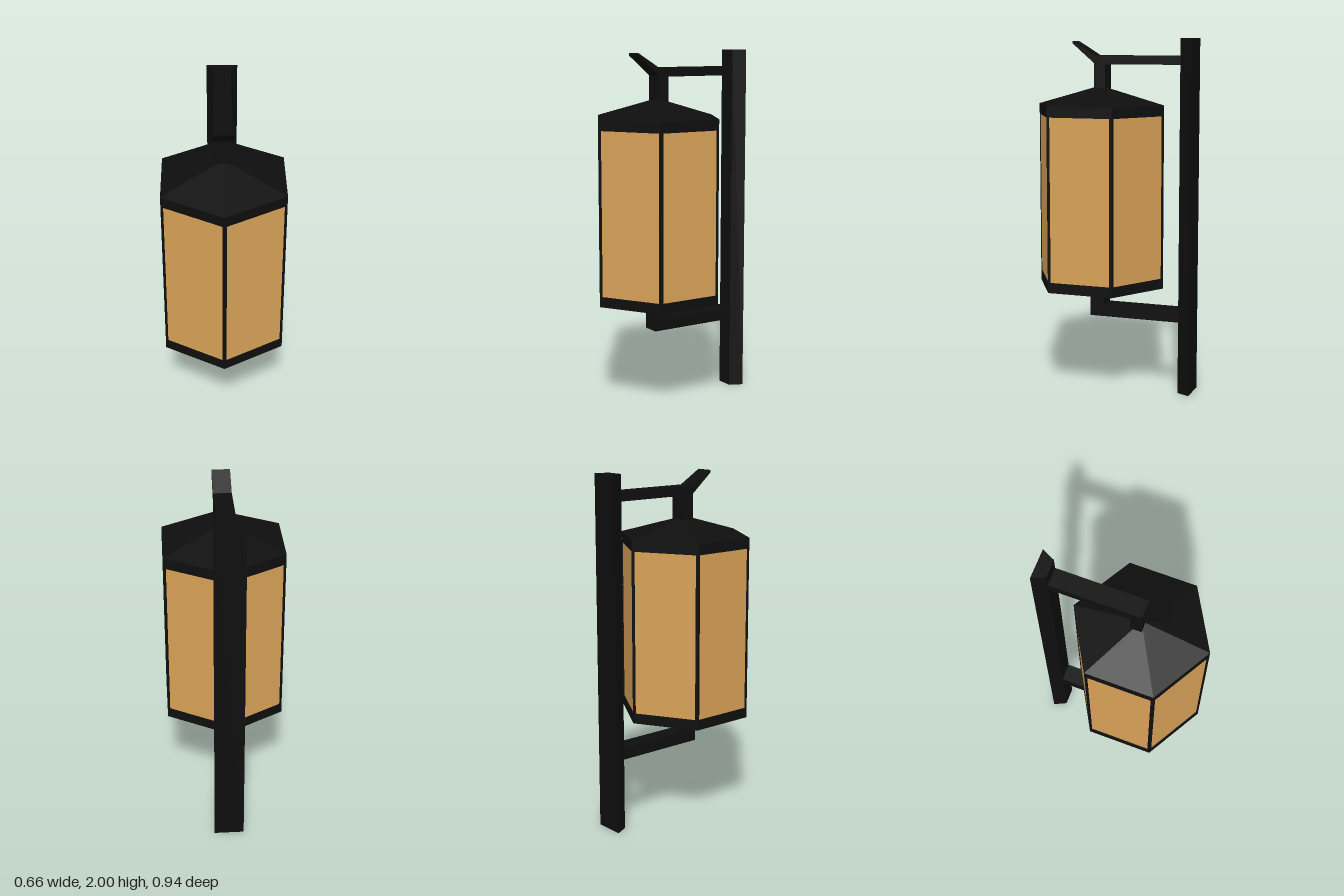
import * as THREE from 'three';

const CZ = 0.09;      // lantern axis
const R = 0.378;      // corner radius of the hexagonal body
const SX = 1.015;     // slight widening across the flats

export function createModel() {
  const iron = new THREE.MeshStandardMaterial({ color: 0x0e0e0e });
  iron.name = 'blackIron';
  const amber = new THREE.MeshStandardMaterial({ color: 0xd9a258 });
  amber.name = 'amberGlass';

  const model = new THREE.Group();
  model.name = 'wallLantern';
  const add = (name, geometry, material = iron, parent = model) => {
    const mesh = new THREE.Mesh(geometry, material);
    mesh.name = name;
    parent.add(mesh);
    return mesh;
  };
  const shape = (pts) => new THREE.Shape(pts.map(([a, b]) => new THREE.Vector2(a, b)));

  // Upright prism from an [x, z] outline
  const upright = (pts, y0, y1) =>
    new THREE.ExtrudeGeometry(shape(pts.map(([x, z]) => [x, -z])), { depth: y1 - y0, bevelEnabled: false })
      .rotateX(-Math.PI / 2).translate(0, y0, 0);

  // Bar cut from a [z, y] side profile, centred on x = 0
  const sideProfile = (pts, width) =>
    new THREE.ExtrudeGeometry(shape(pts), { depth: width, bevelEnabled: false })
      .translate(0, 0, -width / 2).rotateY(-Math.PI / 2);

  // Hexagonal body, with corners facing front and back
  const body = new THREE.Group();
  body.name = 'lanternBody';
  body.position.z = CZ;
  body.scale.x = SX;
  model.add(body);
  const hex = (name, rTop, rBottom, y0, y1, material = iron) =>
    add(name, new THREE.CylinderGeometry(rTop, rBottom, y1 - y0, 6).toNonIndexed()
      .translate(0, (y0 + y1) / 2, 0), material, body).geometry.computeVertexNormals();

  hex('bottomFinial', 0.216, 0.216, 0.555, 0.595);
  hex('bottomRim', R, R, 0.59, 0.648);
  hex('glassPanels', R - 0.005, R - 0.005, 0.645, 1.575, amber);
  hex('topRim', R, R, 1.57, 1.63);
  hex('roof', 0.02, R, 1.63, 1.73);

  // Mitred corner bars between the panes
  const w = 0.0135;
  const dx = w * Math.cos(Math.PI / 6), dz = w * 0.5;
  for (let i = 0; i < 6; i++) {
    const bar = add('cornerBar',
      upright([[0, R], [-dx, R - dz], [0, R - 0.03], [dx, R - dz]], 0.64, 1.58), iron, body);
    bar.rotation.y = (i * Math.PI) / 3;
  }

  // Wall plate, tapering toward the front
  add('wallPlate', upright([[-0.085, -0.468], [0.085, -0.468], [0.05, -0.395], [-0.05, -0.395]], 0, 2));

  // Upper arm with its hanger and upturned tip
  add('upperArm', sideProfile([
    [-0.41, 1.855], [0.045, 1.855], [0.045, 1.7], [0.11, 1.7], [0.11, 1.862],
    [0.24, 1.972], [0.24, 1.985], [0.108, 1.905], [-0.41, 1.905],
  ], 0.102));

  // Lower arm with its support
  add('lowerArm', sideProfile([
    [-0.41, 0.412], [0.135, 0.412], [0.135, 0.565], [0.052, 0.565], [0.052, 0.482], [-0.41, 0.482],
  ], 0.102));

  return model;
}
